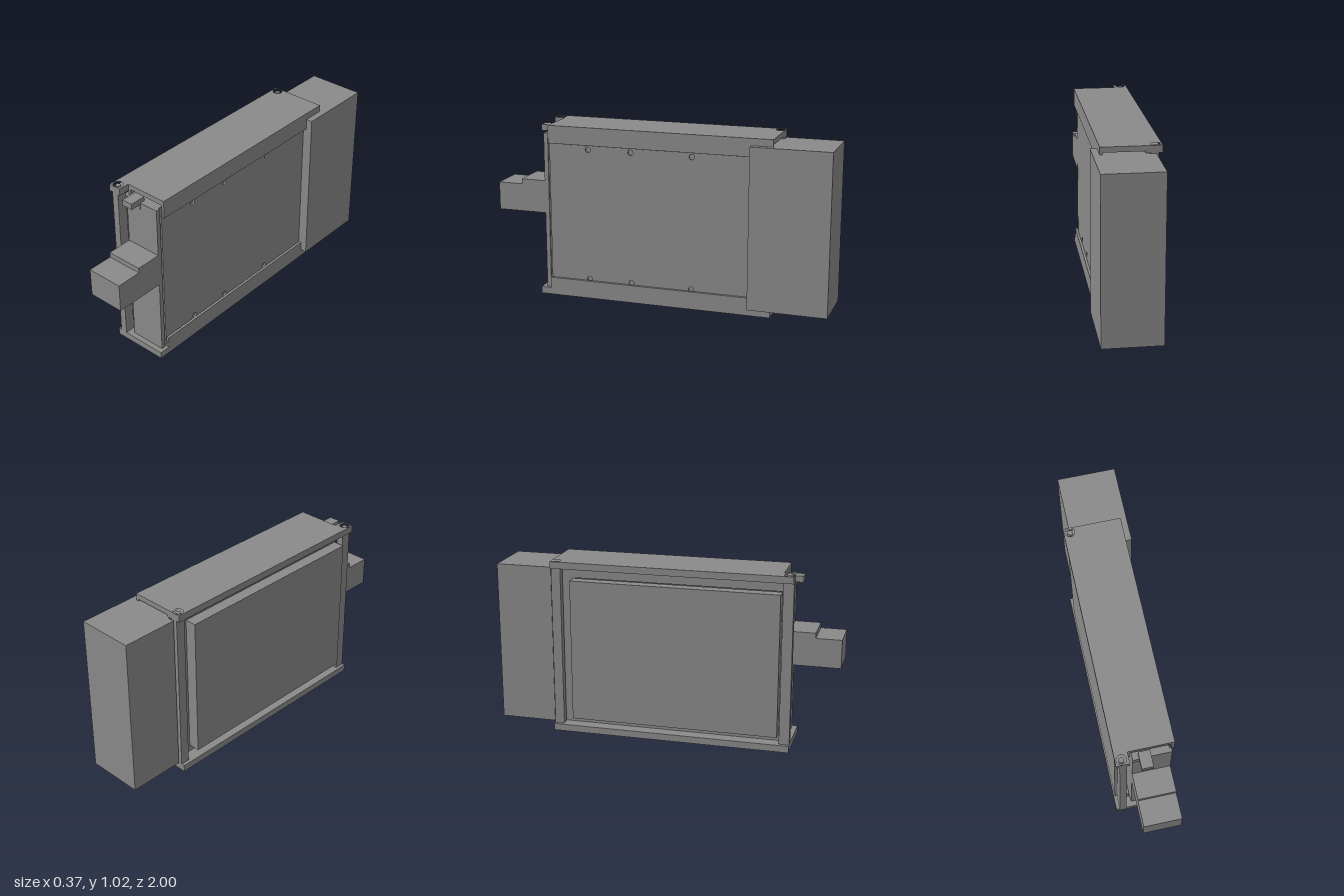
import * as THREE from 'three';

export function createModel() {
  const group = new THREE.Group();
  const gray = new THREE.MeshStandardMaterial({ color: 0x8a8a8a });
  gray.name = 'plainGray';

  const add = (name, geometry) => {
    const mesh = new THREE.Mesh(geometry, gray);
    mesh.name = name;
    group.add(mesh);
    return mesh;
  };
  // Box given by its limits on each axis
  const box = (name, x0, x1, y0, y1, z0, z1) => {
    const g = new THREE.BoxGeometry(x1 - x0, y1 - y0, z1 - z0);
    g.translate((x0 + x1) / 2, (y0 + y1) / 2, (z0 + z1) / 2);
    return add(name, g);
  };
  const polygon = (pts) => new THREE.Shape(pts.map(([x, y]) => new THREE.Vector2(x, y)));
  const hole = (shape, x, y, r) => {
    const path = new THREE.Path();
    path.absarc(x, y, r, 0, Math.PI * 2, true);
    shape.holes.push(path);
  };
  const extrude = (shape, depth) =>
    new THREE.ExtrudeGeometry(shape, { depth, bevelEnabled: false, curveSegments: 16 });

  const screws = [[-0.15, 0.705], [-0.15, -0.637]];

  // Outer skin of a rail, lying flat, with countersunk screw holes
  const skin = (name, outline, y0) => {
    const shape = polygon(outline.map(([x, z]) => [x, -z]));
    screws.forEach(([x, z]) => hole(shape, x, -z, 0.027));
    const g = extrude(shape, 0.03);
    g.rotateX(-Math.PI / 2);
    g.translate(0, y0, 0);
    add(name, g);
    screws.forEach(([x, z]) => {
      const head = new THREE.CylinderGeometry(0.015, 0.015, 0.02, 20);
      head.translate(x, y0 + 0.015, z);
      add('screwHead', head);
    });
  };
  skin('topSkin', [[-0.185, -0.665], [0.145, -0.665], [0.145, 0.67],
    [-0.11, 0.67], [-0.11, 0.735], [-0.185, 0.735]], 0.995);
  skin('bottomSkin', [[-0.185, -0.665], [0.145, -0.665], [0.145, 0.735], [-0.185, 0.735]], 0);

  // Guide lips under the top skin and above the bottom skin
  const lips = (name, flip) => {
    const y = (v) => (flip ? 1.025 - v : v);
    const parts = [
      [[-0.185, 0.995], [-0.185, 0.985], [-0.11, 0.985], [-0.11, 0.92], [-0.095, 0.92], [-0.095, 0.995]],
      [[0.13, 0.995], [0.13, 0.92], [0.145, 0.92], [0.145, 0.995]],
    ];
    parts.forEach((p) => {
      const g = extrude(polygon(p.map(([a, b]) => [a, y(b)])), 1.335);
      g.translate(0, 0, -0.665);
      add(name, g);
    });
  };
  lips('topGuide', false);
  lips('bottomGuide', true);
  box('topCornerTab', -0.185, -0.11, 0.985, 0.995, 0.67, 0.735);
  box('bottomFrontLedge', -0.185, 0.145, 0.03, 0.04, 0.67, 0.735);

  // Corner posts and side panel on the right
  box('frontPost', -0.165, -0.125, 0.035, 0.99, 0.675, 0.735);
  box('rearPost', -0.165, -0.125, 0.035, 0.99, -0.665, -0.61);
  box('sidePanel', -0.18, -0.113, 0.083, 0.918, -0.55, 0.665);

  // Sliding cartridge with its front panel
  box('cartridgeBody', -0.09, 0.115, 0.04, 0.975, -0.56, 0.69);
  box('frontPanel', -0.09, 0.125, 0.04, 0.975, 0.68, 0.705);

  // Cover plate with six screw holes on the left
  const cover = polygon([[-0.67, 0.085], [0.55, 0.085], [0.55, 0.915], [-0.67, 0.915]]);
  for (const z of [0.43, 0.17, -0.195]) for (const y of [0.113, 0.892]) hole(cover, -z, y, 0.016);
  const coverGeometry = extrude(cover, 0.011);
  coverGeometry.rotateY(Math.PI / 2);
  coverGeometry.translate(0.114, 0, 0);
  add('coverPlate', coverGeometry);

  // Rear housing, narrower where it enters the frame
  box('rearHousing', -0.15, 0.182, 0.046, 0.984, -1, -0.672);
  box('rearHousingNeck', -0.11, 0.182, 0.046, 0.984, -0.68, -0.54);

  // Stepped connector on the front
  box('connectorBase', -0.09, 0.125, 0.495, 0.69, 0.7, 0.853);
  box('connectorTip', -0.09, 0.125, 0.495, 0.66, 0.85, 1);

  // Latch
  box('latchPlate', -0.09, 0.01, 0.935, 0.978, 0.69, 0.709);
  box('latchTab', -0.055, 0.01, 0.965, 1, 0.675, 0.77);

  return group;
}
